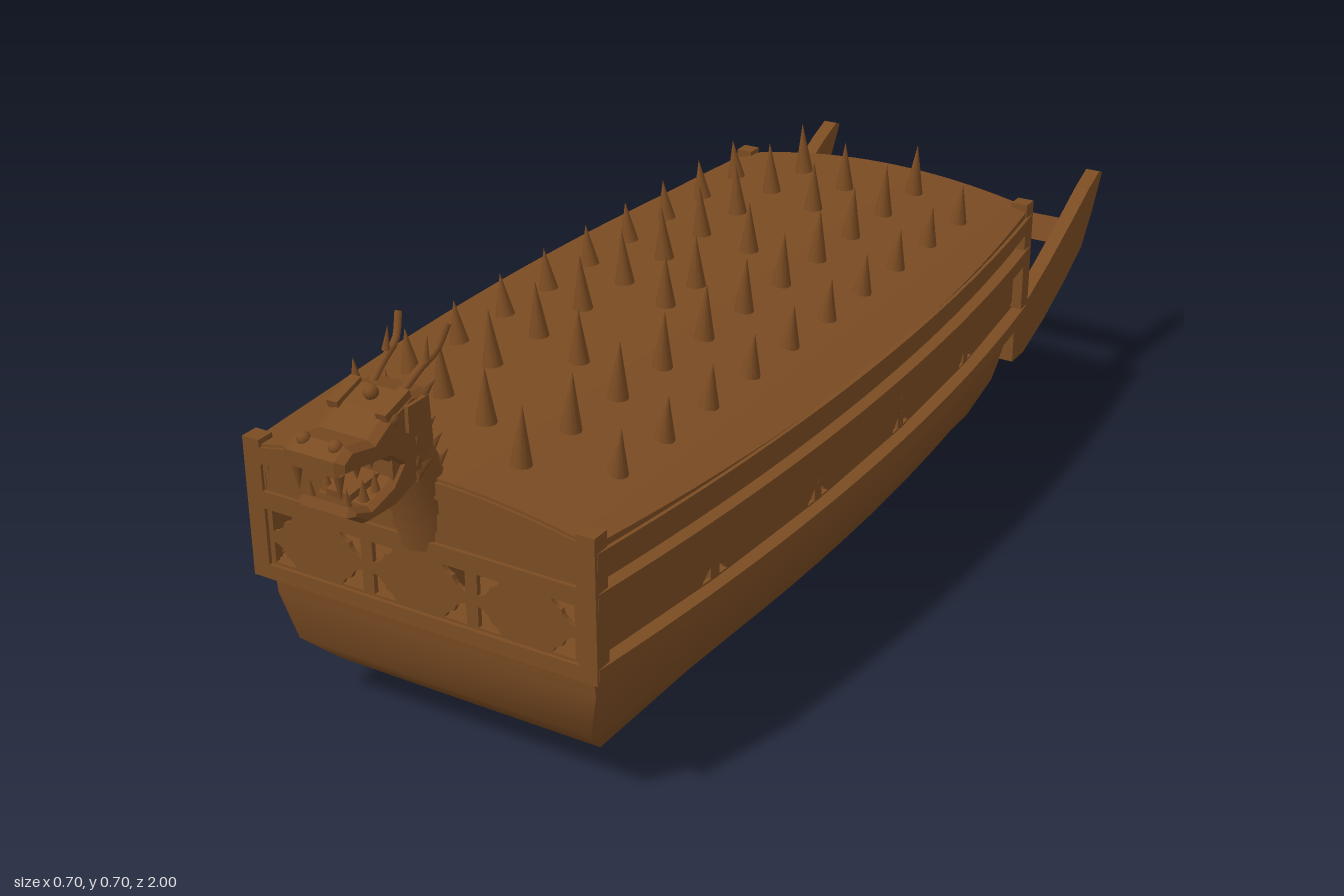
import * as THREE from 'three';
import { toCreasedNormals } from 'three/addons/utils/BufferGeometryUtils.js';

const wood = new THREE.MeshStandardMaterial({ color: 0x7a4b22 });
wood.name = 'brown wood';

const FRONT = 0.8, BACK = -0.655, MID = 0.0725, HALF = 0.7275;
// Barrel-shaped plan: half width of the deck at a given z, and roof height at a given x
const halfWidth = (z) => 0.3 + 0.05 * (1 - ((z - MID) / HALF) ** 2);
const roofY = (x) => 0.485 - 0.39 * x * x;

function add(parent, name, geo, x = 0, y = 0, z = 0) {
  const m = new THREE.Mesh(geo, wood);
  m.name = name;
  m.position.set(x, y, z);
  parent.add(m);
  return m;
}
const box = (p, name, w, h, d, x, y, z) => add(p, name, new THREE.BoxGeometry(w, h, d), x, y, z);
const shapeOf = (pts) => new THREE.Shape(pts.map(([a, b]) => new THREE.Vector2(a, b)));

// Side outline given as (z, y) points, extruded across x
function sideCut(pts, width, bevel = 0) {
  const g = new THREE.ExtrudeGeometry(shapeOf(pts), {
    depth: width - 2 * bevel, bevelEnabled: bevel > 0, bevelSize: bevel * 0.6, bevelThickness: bevel,
    bevelOffset: -bevel * 0.6, bevelSegments: 1,
  });
  return g.translate(0, 0, bevel - width / 2).rotateY(-Math.PI / 2);
}

// Strip that follows the curved side between two insets
function sideBand(side, outer, inner, y0, y1) {
  const out = [], inn = [];
  for (let i = 0; i <= 24; i++) {
    const z = FRONT - 0.005 + (BACK - FRONT + 0.01) * i / 24;
    out.push([side * (halfWidth(z) - outer), -z]);
    inn.unshift([side * (halfWidth(z) - inner), -z]);
  }
  const g = new THREE.ExtrudeGeometry(shapeOf([...out, ...inn]), { depth: y1 - y0, bevelEnabled: false });
  return toCreasedNormals(g.rotateX(-Math.PI / 2).translate(0, y0, 0), 0.6);
}

// Wall panel with a scalloped opening in each corner, k scales the openings
function fretPanel(w, h, k) {
  const s = shapeOf([[-w / 2, 0], [w / 2, 0], [w / 2, h], [-w / 2, h]]);
  for (const sx of [-1, 1]) for (const sy of [-1, 1]) {
    const hole = new THREE.Path();
    const X = (v) => sx * (w / 2 - 0.01 - v * k), Y = (v) => h / 2 + sy * (h / 2 - 0.005 - v * k);
    hole.moveTo(X(0), Y(0));
    hole.lineTo(X(0.038), Y(0));
    hole.quadraticCurveTo(X(0.034), Y(0.012), X(0.022), Y(0.014));
    hole.quadraticCurveTo(X(0.018), Y(0.03), X(0), Y(0.034));
    hole.closePath();
    s.holes.push(hole);
  }
  return new THREE.ExtrudeGeometry(s, { depth: 0.008, bevelEnabled: false, curveSegments: 4 });
}

// Hull built from stacked rings: y, middle half width, end half width, front z, back z
function hullGeometry() {
  const levels = [
    [0, 0.03, 0.03, 0.53, -0.37], [0.017, 0.142, 0.14, 0.62, -0.47], [0.06, 0.24, 0.235, 0.7, -0.55],
    [0.12, 0.304, 0.26, 0.76, -0.6], [0.2, 0.327, 0.28, 0.775, -0.618], [0.25, 0.327, 0.28, 0.78, -0.625],
  ];
  const N = 16, pos = [], idx = [], ring = 2 * (N + 1);
  for (const [y, wm, we, zf, zb] of levels) for (const side of [1, -1]) for (let i = 0; i <= N; i++) {
    const t = side * (1 - 2 * i / N);
    pos.push(side * (we + (wm - we) * (1 - t * t)), y, (zf + zb) / 2 + t * (zf - zb) / 2);
  }
  const top = (levels.length - 1) * ring;
  for (let l = 0; l < top; l += ring) for (let i = 0; i < ring; i++) {
    const a = l + i, b = l + (i + 1) % ring;
    idx.push(a, b, b + ring, a, b + ring, a + ring);
  }
  // Keel strip and deck floor
  for (let i = 0; i < N; i++) {
    const a = i, b = i + 1, c = ring - 1 - i, d = ring - 2 - i;
    idx.push(a, c, b, b, c, d, top + a, top + b, top + c, top + b, top + d, top + c);
  }
  const g = new THREE.BufferGeometry();
  g.setAttribute('position', new THREE.Float32BufferAttribute(pos, 3));
  g.setIndex(idx);
  return toCreasedNormals(g, 1.0);
}

// Gently arched roof plate
function roofGeometry() {
  const g = new THREE.BoxGeometry(2, 0.02, FRONT - BACK - 0.01, 20, 1, 20).translate(0, -0.01, MID);
  const p = g.attributes.position;
  for (let i = 0; i < p.count; i++) {
    const x = p.getX(i) * (halfWidth(p.getZ(i)) - 0.006);
    p.setXYZ(i, x, p.getY(i) + roofY(x), p.getZ(i));
  }
  g.computeVertexNormals();
  return g;
}

// End wall: framed arch panel over three fretted panels
function endWall() {
  const wall = new THREE.Group();
  wall.name = 'endWall';
  const arch = (w, drop, y0) => {
    const pts = [[-w, y0], [w, y0]];
    for (let i = 0; i <= 12; i++) { const x = w - 2 * w * i / 12; pts.push([x, roofY(x) - drop]); }
    return pts;
  };
  const frame = shapeOf(arch(0.28, 0.004, 0.238));
  frame.holes.push(shapeOf([[-0.272, 0.262], [0.272, 0.262], [0.272, 0.355], [-0.272, 0.355]]));
  frame.holes.push(shapeOf(arch(0.27, 0.03, 0.383)));
  add(wall, 'endFrame', new THREE.ExtrudeGeometry(frame, { depth: 0.015, bevelEnabled: false }), 0, 0, -0.015);
  add(wall, 'archPanel', new THREE.ExtrudeGeometry(shapeOf(arch(0.275, 0.02, 0.37)), { depth: 0.01, bevelEnabled: false }), 0, 0, -0.016);
  for (const x of [-1, 0, 1]) add(wall, 'fretPanel', fretPanel(0.181, 0.095, 1), x * 0.181, 0.261, -0.014);
  for (const s of [-1, 1]) box(wall, 'cornerPost', 0.03, 0.227, 0.03, s * 0.285, 0.3515, -0.015);
  return wall;
}

function dragon() {
  const g = new THREE.Group();
  g.name = 'dragonHead';
  // Neck of overlapping collars, leaning forward out of the bow
  const path = new THREE.CatmullRomCurve3([[0.385, 0.765], [0.45, 0.785], [0.52, 0.812], [0.59, 0.84]].map(([y, z]) => new THREE.Vector3(0, y, z)));
  const up = new THREE.Vector3(0, 1, 0), n = 7;
  for (let i = 0; i < n; i++) {
    const p = path.getPoint((i + 0.5) / n), t = path.getTangent((i + 0.5) / n);
    const c = add(g, 'neckCollar', new THREE.CylinderGeometry(0.04, 0.045, 0.042, 16), p.x, p.y, p.z);
    c.quaternion.setFromUnitVectors(up, t);
    if (i < 3) continue;
    const s = add(g, 'maneSpike', new THREE.ConeGeometry(0.012, 0.035, 5), 0, p.y + 0.015, p.z - 0.046);
    s.rotation.x = -0.9;
    for (const sx of [-1, 1]) {
      const f = add(g, 'sideSpike', new THREE.ConeGeometry(0.01, 0.035, 5), sx * 0.026, p.y + 0.012, p.z - 0.036);
      f.rotation.set(-0.9, 0, -sx * 0.2);
    }
  }
  // Jaws
  add(g, 'upperJaw', sideCut([[0.8, 0.55], [0.805, 0.625], [0.85, 0.635], [0.89, 0.622], [0.93, 0.6], [0.975, 0.61],
    [0.998, 0.597], [0.998, 0.575], [0.95, 0.568], [0.9, 0.56], [0.87, 0.535], [0.83, 0.525]], 0.1, 0.012));
  add(g, 'lowerJaw', sideCut([[0.82, 0.55], [0.87, 0.545], [0.895, 0.52], [0.94, 0.508], [0.975, 0.522],
    [0.98, 0.508], [0.95, 0.487], [0.89, 0.485], [0.83, 0.505]], 0.095, 0.01));
  box(g, 'throat', 0.086, 0.06, 0.06, 0, 0.535, 0.858);
  const tongue = box(g, 'tongue', 0.04, 0.01, 0.09, 0, 0.523, 0.905);
  tongue.rotation.x = 0.1;
  add(g, 'noseCrest', new THREE.SphereGeometry(0.011, 10, 8), 0, 0.635, 0.87);
  for (const s of [-1, 1]) {
    add(g, 'eye', new THREE.SphereGeometry(0.011, 12, 8), s * 0.043, 0.612, 0.885);
    const brow = box(g, 'brow', 0.018, 0.012, 0.055, s * 0.04, 0.628, 0.875);
    brow.rotation.x = 0.3;
    add(g, 'nostril', new THREE.SphereGeometry(0.01, 10, 8), s * 0.026, 0.607, 0.978);
    box(g, 'cheek', 0.016, 0.038, 0.04, s * 0.048, 0.605, 0.845);
    // Teeth
    for (const [z, h] of [[0.985, 0.04], [0.95, 0.022], [0.92, 0.02]]) {
      const f = add(g, 'upperTooth', new THREE.ConeGeometry(0.008, h, 6), s * 0.034, 0.573 - h / 2, z);
      f.rotation.x = Math.PI;
    }
    for (const z of [0.968, 0.935, 0.91]) add(g, 'lowerTooth', new THREE.ConeGeometry(0.008, 0.032, 6), s * 0.03, 0.528, z);
    // Branching horn, ear and jaw fins
    const horn = new THREE.CatmullRomCurve3([[0.025, 0.625, 0.84], [0.03, 0.65, 0.8], [0.034, 0.665, 0.77], [0.041, 0.698, 0.752]]
      .map(([x, y, z]) => new THREE.Vector3(s * x, y, z)));
    add(g, 'horn', new THREE.TubeGeometry(horn, 10, 0.006, 6));
    const tine = add(g, 'hornTine', new THREE.ConeGeometry(0.006, 0.035, 6), s * 0.033, 0.675, 0.79);
    tine.rotation.x = -0.2;
    const ear = add(g, 'ear', new THREE.ConeGeometry(0.012, 0.045, 6), s * 0.043, 0.622, 0.81);
    ear.rotation.set(-1.1, 0, -s * 0.1);
    for (const y of [0.515, 0.54, 0.57]) {
      const fin = add(g, 'jawFin', new THREE.ConeGeometry(0.012, 0.05, 5), s * 0.042, y, 0.82);
      fin.rotation.x = -1.4;
    }
  }
  return g;
}

export function createModel() {
  const ship = new THREE.Group();
  ship.name = 'armouredShip';
  add(ship, 'hull', hullGeometry());
  add(ship, 'roof', roofGeometry());

  // Deck slab, curved rails and upper walls
  for (const s of [-1, 1]) {
    add(ship, 'deckRail', sideBand(s, 0, 0.3, 0.238, 0.262));
    add(ship, 'middleRail', sideBand(s, 0, 0.04, 0.352, 0.378));
    add(ship, 'upperRail', sideBand(s, 0, 0.04, 0.413, 0.44));
    add(ship, 'upperWall', sideBand(s, 0.022, 0.034, 0.36, 0.443));
    // Fretted side panels set as chords of the curve
    for (let i = 0; i < 5; i++) {
      const z0 = FRONT - 0.01 - i * 0.287, z1 = z0 - 0.287;
      const x0 = halfWidth(z0) - 0.022, x1 = halfWidth(z1) - 0.022;
      const p = add(ship, 'sidePanel', fretPanel(Math.hypot(x1 - x0, 0.287), 0.095, 0.55), s * ((x0 + x1) / 2 - 0.008), 0.26, (z0 + z1) / 2);
      p.rotation.y = s * (Math.PI / 2 - Math.atan2(x1 - x0, 0.287) * s * s);
    }
  }
  // Inner partitions
  box(ship, 'bulkhead', 0.6, 0.09, 0.02, 0, 0.299, 0.05);
  for (const s of [-1, 1]) box(ship, 'bulkheadSide', 0.12, 0.15, 0.02, s * 0.25, 0.335, 0.05);
  box(ship, 'centrePartition', 0.02, 0.2, 1.4, 0, 0.345, MID);

  // Bow and stern walls
  const bow = endWall();
  bow.position.z = FRONT;
  const stern = endWall();
  stern.position.z = BACK;
  stern.rotation.y = Math.PI;
  ship.add(bow, stern);

  // Roof spikes in lengthwise rows
  const spike = (x, z, h) => {
    const c = add(ship, 'roofSpike', new THREE.ConeGeometry(0.018, h + 0.01, 12), x * 1.02, roofY(x) + h / 2 - 0.005, z);
    c.rotation.z = -x * 0.5;
  };
  for (const s of [-1, 1]) {
    for (let i = 0; i < 11; i++) spike(s * 0.112, -0.545 + i * 0.124, 0.092);
    for (let i = 0; i < 10; i++) spike(s * 0.224, -0.49 + i * 0.124, 0.07);
  }
  for (const z of [-0.49, -0.37, -0.14, 0.035, 0.13, 0.38, 0.62]) spike(0, z, 0.088);

  // Stern beams and crossbar
  const beam = [[-0.6, 0.166], [-0.65, 0.166], [-0.74, 0.197], [-0.84, 0.243], [-0.915, 0.285], [-0.96, 0.345], [-1, 0.412],
    [-0.985, 0.418], [-0.935, 0.398], [-0.85, 0.355], [-0.75, 0.308], [-0.65, 0.267], [-0.6, 0.255]];
  for (const s of [-1, 1]) add(ship, 'sternBeam', sideCut(beam, 0.027), s * 0.286, 0, 0);
  const bar = box(ship, 'sternCrossbar', 0.56, 0.05, 0.03, 0, 0.318, -0.892);
  bar.rotation.x = -0.4;

  ship.add(dragon());
  return ship;
}
